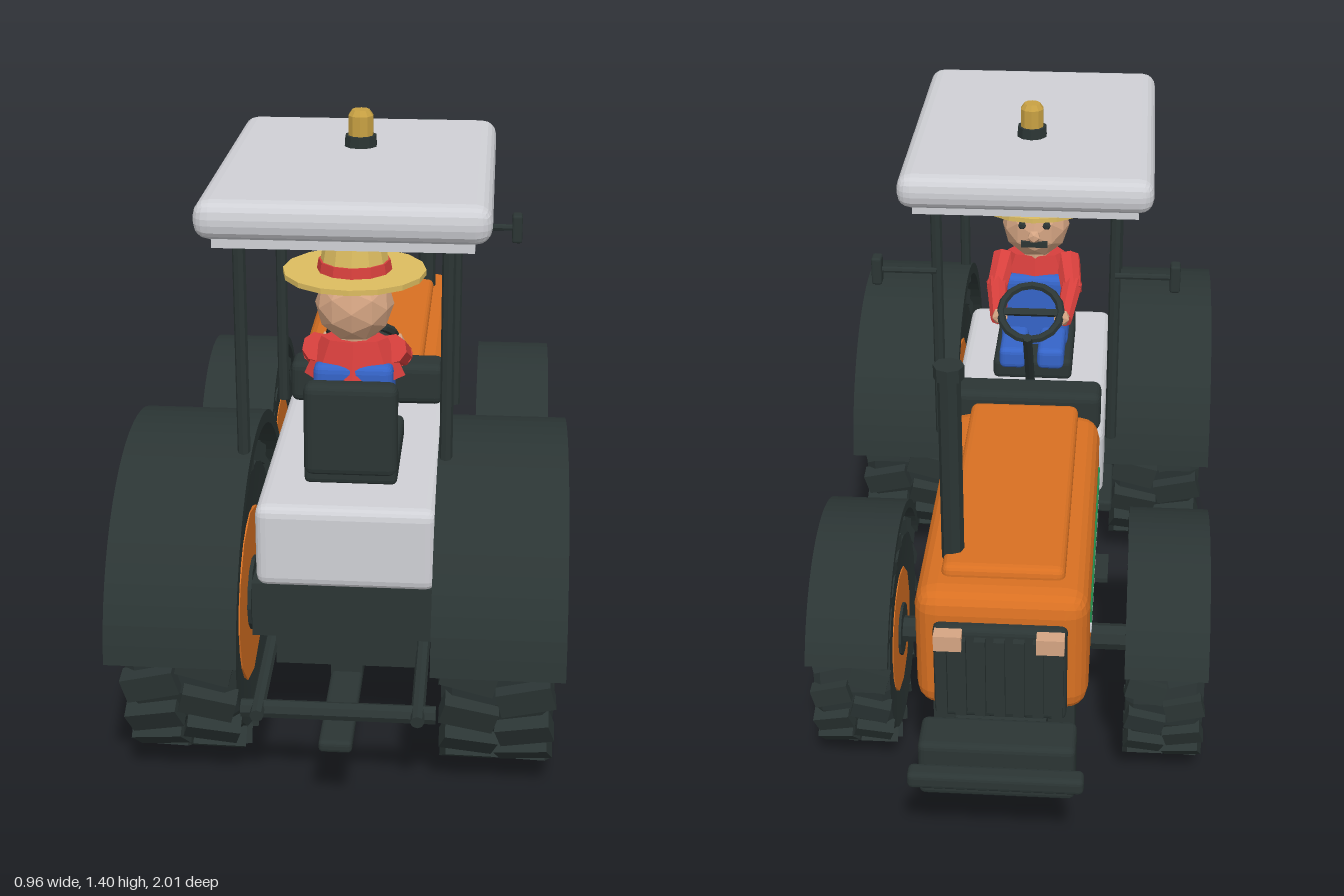
import * as THREE from 'three';
import { RoundedBoxGeometry } from 'three/addons/geometries/RoundedBoxGeometry.js';

const mat = (name, color, flat = true) => {
  const m = new THREE.MeshStandardMaterial({ color, flatShading: flat });
  m.name = name;
  return m;
};

export function createModel() {
  const dark = mat('charcoal', 0x2b3534);
  const orange = mat('orange', 0xd87022);
  const gray = mat('light gray', 0xcfd0d5);
  const green = mat('green', 0x22884a);
  const blue = mat('blue', 0x3564c8);
  const red = mat('red', 0xd63f3c);
  const straw = mat('straw', 0xdcbc60);
  const skin = mat('skin', 0xd5a583);
  const amber = mat('amber', 0xc8a143);

  const tractor = new THREE.Group();
  tractor.name = 'tractor';

  const add = (name, geo, material, x = 0, y = 0, z = 0, parent = tractor) => {
    const m = new THREE.Mesh(geo, material);
    m.name = name;
    m.position.set(x, y, z);
    parent.add(m);
    return m;
  };
  // box given by its min and max on each axis
  const box = (name, material, [x0, x1], [y0, y1], [z0, z1], r = 0, parent = tractor) => {
    const s = [x1 - x0, y1 - y0, z1 - z0];
    const geo = r ? new RoundedBoxGeometry(...s, 2, r) : new THREE.BoxGeometry(...s);
    return add(name, geo, material, (x0 + x1) / 2, (y0 + y1) / 2, (z0 + z1) / 2, parent);
  };
  // round bar between two points
  const bar = (name, material, a, b, r, r2 = r, sides = 8) => {
    const p = new THREE.Vector3(...a), q = new THREE.Vector3(...b);
    const d = q.clone().sub(p);
    const m = add(name, new THREE.CylinderGeometry(r2, r, d.length(), sides), material);
    m.position.copy(p).add(q).multiplyScalar(0.5);
    m.quaternion.setFromUnitVectors(new THREE.Vector3(0, 1, 0), d.normalize());
    return m;
  };

  // wheel with its outer face toward +x
  const wheel = (name, side, x, y, z, R, width, rimR, hubR, lugs) => {
    const g = new THREE.Group();
    g.name = name;
    g.position.set(side * x, y, z);
    if (side < 0) g.rotation.y = Math.PI;
    tractor.add(g);
    const h = width / 2, r = R * 0.92;
    const profile = [[rimR, -h * 0.94], [r * 0.94, -h], [r, -h * 0.8], [r, h * 0.8], [r * 0.94, h], [rimR, h * 0.94]]
      .map(p => new THREE.Vector2(...p));
    add('tyre', new THREE.LatheGeometry(profile, 24).rotateZ(-Math.PI / 2), dark, 0, 0, 0, g);
    add('rim', new THREE.CylinderGeometry(rimR, rimR, width * 0.96, 12).rotateZ(-Math.PI / 2), orange, 0, 0, 0, g);
    add('hub', new THREE.CylinderGeometry(hubR, hubR, width * 1.03, 12).rotateZ(-Math.PI / 2), dark, 0, 0, 0, g);
    for (let i = 0; i < 5; i++) {
      const a = i * Math.PI * 0.4;
      add('bolt', new THREE.CylinderGeometry(hubR * 0.16, hubR * 0.16, 0.008, 6).rotateZ(-Math.PI / 2), gray,
        width * 0.515, Math.cos(a) * hubR * 0.65, Math.sin(a) * hubR * 0.65, g);
    }
    // two staggered rows of slanted lugs
    const lugH = R * 0.13, lugGeo = new THREE.BoxGeometry(h * 0.98, lugH, R * 0.17);
    for (const s of [-1, 1]) for (let i = 0; i < lugs; i++) {
      const pivot = new THREE.Group();
      pivot.rotation.x = (i + (s > 0 ? 0.5 : 0)) / lugs * Math.PI * 2;
      g.add(pivot);
      const lug = add('lug', lugGeo, dark, s * h * 0.5, R * 0.995 - lugH / 2, 0, pivot);
      lug.rotation.y = s * 0.25;
    }
  };

  // arched mudguard
  const fender = (name, side, x0, x1, y, z, rIn, rOut, a0, a1) => {
    const s = new THREE.Shape();
    s.absarc(0, 0, rOut, a0, a1, false);
    s.absarc(0, 0, rIn, a1, a0, true);
    const geo = new THREE.ExtrudeGeometry(s, { depth: x1 - x0, bevelEnabled: false, curveSegments: 14 });
    geo.translate(0, 0, -(x1 - x0) / 2).rotateY(-Math.PI / 2);
    add(name, geo, dark, side * (x0 + x1) / 2, y, z);
  };

  // chassis and axles
  box('chassis', dark, [-0.16, 0.16], [0.22, 0.4], [-0.74, 0.68]);
  box('rearHousing', dark, [-0.21, 0.21], [0.3, 0.43], [0.22, 0.7]);
  bar('rearAxle', dark, [-0.3, 0.35, 0.59], [0.3, 0.35, 0.59], 0.05);
  bar('frontAxle', dark, [-0.36, 0.278, -0.395], [0.36, 0.278, -0.395], 0.032);

  // bonnet with raised panel
  box('hood', orange, [-0.19, 0.19], [0.375, 0.685], [-0.82, 0], 0.05);
  box('hoodPanel', orange, [-0.135, 0.135], [0.66, 0.71], [-0.745, -0.01], 0.02);
  box('grille', dark, [-0.145, 0.145], [0.38, 0.62], [-0.845, -0.79], 0.015);
  for (let i = 0; i < 7; i++) {
    const x = (i - 3) * 0.042;
    box('grilleBar', dark, [x - 0.012, x + 0.012], [0.4, 0.6], [-0.862, -0.83]);
  }
  box('frontWeight', dark, [-0.17, 0.17], [0.255, 0.395], [-0.96, -0.855], 0.015);
  box('weightMount', dark, [-0.1, 0.1], [0.26, 0.36], [-0.87, -0.7]);
  box('bumper', dark, [-0.19, 0.19], [0.305, 0.345], [-1, -0.955], 0.012);

  // cab floor body, dashboard and roof
  box('cabBody', gray, [-0.2, 0.2], [0.425, 0.62], [0, 0.71], 0.025);
  box('dashboard', dark, [-0.19, 0.19], [0.62, 0.725], [0, 0.095], 0.02);
  box('roof', gray, [-0.305, 0.305], [1.237, 1.32], [-0.05, 0.77], 0.035);
  box('roofLip', gray, [-0.27, 0.27], [1.215, 1.245], [-0.01, 0.73]);
  bar('beaconBase', dark, [0, 1.315, 0.257], [0, 1.345, 0.257], 0.038, 0.036, 10);
  bar('beacon', amber, [0, 1.345, 0.257], [0, 1.39, 0.257], 0.029, 0.029, 10);
  bar('beaconTop', amber, [0, 1.39, 0.257], [0, 1.403, 0.257], 0.029, 0.02, 10);

  // exhaust stack
  bar('exhaust', dark, [0.115, 0.66, -0.67], [0.115, 1.14, -0.67], 0.025);
  bar('exhaustCap', dark, [0.115, 1.135, -0.67], [0.115, 1.165, -0.67], 0.033);

  // paired parts
  for (const s of [-1, 1]) {
    const span = (a, b) => (s > 0 ? [a, b] : [-b, -a]);
    wheel('rearWheel', s, 0.34, 0.35, 0.59, 0.35, 0.24, 0.2, 0.085, 20);
    wheel('frontWheel', s, 0.365, 0.277, -0.395, 0.275, 0.18, 0.153, 0.065, 18);
    fender('rearFender', s, 0.2, 0.478, 0.35, 0.59, 0.39, 0.42, 0.1, 2.97);
    fender('frontFender', s, 0.27, 0.46, 0.278, -0.395, 0.297, 0.318, 0.34, 2.8);
    box('greenStripe', green, span(0.188, 0.194), [0.555, 0.592], [-0.715, -0.12]);
    box('paleStripe', gray, span(0.188, 0.194), [0.528, 0.551], [-0.715, -0.12]);
    box('headlight', skin, span(0.08, 0.14), [0.58, 0.618], [-0.872, -0.84]);
    box('footboard', dark, span(0.12, 0.225), [0.413, 0.445], [-0.05, 0.145], 0.008);
    box('upperStep', dark, span(0.15, 0.19), [0.3, 0.312], [-0.01, 0.105]);
    box('lowerStep', dark, span(0.1, 0.22), [0.165, 0.178], [-0.01, 0.105]);
    box('stepBracket', dark, span(0.1, 0.115), [0.165, 0.24], [0.035, 0.06]);
    bar('frontPost', dark, [s * 0.217, 0.6, 0.02], [s * 0.217, 1.22, 0.02], 0.014);
    bar('rearPost', dark, [s * 0.217, 0.7, 0.705], [s * 0.217, 1.22, 0.705], 0.014);
    bar('mirrorArm', dark, [s * 0.217, 1.06, 0.005], [s * 0.36, 1.06, 0.005], 0.008);
    box('mirror', dark, span(0.35, 0.375), [1.025, 1.095], [-0.012, 0.026], 0.006);
    bar('hitchArm', dark, [s * 0.172, 0.27, 0.6], [s * 0.172, 0.235, 0.93], 0.015);
  }

  // rear hitch
  bar('hitchBar', dark, [-0.21, 0.23, 0.89], [0.21, 0.23, 0.89], 0.02);
  box('drawbar', dark, [-0.036, 0.036], [0.175, 0.203], [0.5, 0.97], 0.01);
  box('drawbarMount', dark, [-0.036, 0.036], [0.19, 0.3], [0.5, 0.68]);

  // seat and steering
  box('seatCushion', dark, [-0.105, 0.105], [0.615, 0.675], [0.28, 0.57], 0.015);
  box('seatBack', dark, [-0.105, 0.105], [0.635, 0.855], [0.52, 0.575], 0.02);
  bar('steeringColumn', dark, [0, 0.65, 0.205], [0, 0.845, 0.08], 0.012);
  const steering = add('steeringWheel', new THREE.TorusGeometry(0.078, 0.011, 6, 16), dark, 0, 0.85, 0.215);
  steering.lookAt(0, 0.85 + 0.79, 0.215 - 0.61);
  const spoke = add('wheelSpoke', new THREE.BoxGeometry(0.15, 0.018, 0.01), dark, 0, 0.85, 0.215);
  spoke.quaternion.copy(steering.quaternion);

  // driver
  box('torso', blue, [-0.09, 0.09], [0.665, 0.875], [0.37, 0.5], 0.02);
  const chest = add('shirt', new THREE.CylinderGeometry(0.075, 0.115, 0.09, 8), red, 0, 0.88, 0.44);
  chest.scale.z = 0.58;
  bar('neck', skin, [0, 0.9, 0.435], [0, 0.95, 0.435], 0.04);
  add('head', new THREE.IcosahedronGeometry(0.089, 1), skin, 0, 1.005, 0.437);
  add('nose', new THREE.IcosahedronGeometry(0.018, 0), skin, 0, 1.005, 0.345);
  box('moustache', dark, [-0.035, 0.035], [0.972, 0.988], [0.35, 0.375]);
  for (const s of [-1, 1]) {
    const x = s * 0.1;
    box('leg', blue, s > 0 ? [0.015, 0.085] : [-0.085, -0.015], [0.67, 0.728], [0.235, 0.45], 0.015);
    add('eye', new THREE.IcosahedronGeometry(0.012, 0), dark, s * 0.032, 1.03, 0.362);
    bar('upperArm', red, [x * 0.85, 0.9, 0.445], [x, 0.85, 0.35], 0.034, 0.028);
    bar('forearm', red, [x, 0.86, 0.37], [x * 0.85, 0.82, 0.235], 0.028, 0.022);
    add('hand', new THREE.IcosahedronGeometry(0.023, 0), skin, s * 0.08, 0.835, 0.218);
  }

  // straw hat
  bar('hatBrim', straw, [0, 1.073, 0.437], [0, 1.085, 0.437], 0.16, 0.16, 16);
  bar('hatBand', red, [0, 1.085, 0.437], [0, 1.108, 0.437], 0.084, 0.08, 12);
  bar('hatCrown', straw, [0, 1.085, 0.437], [0, 1.17, 0.437], 0.08, 0.064, 12);

  return tractor;
}
